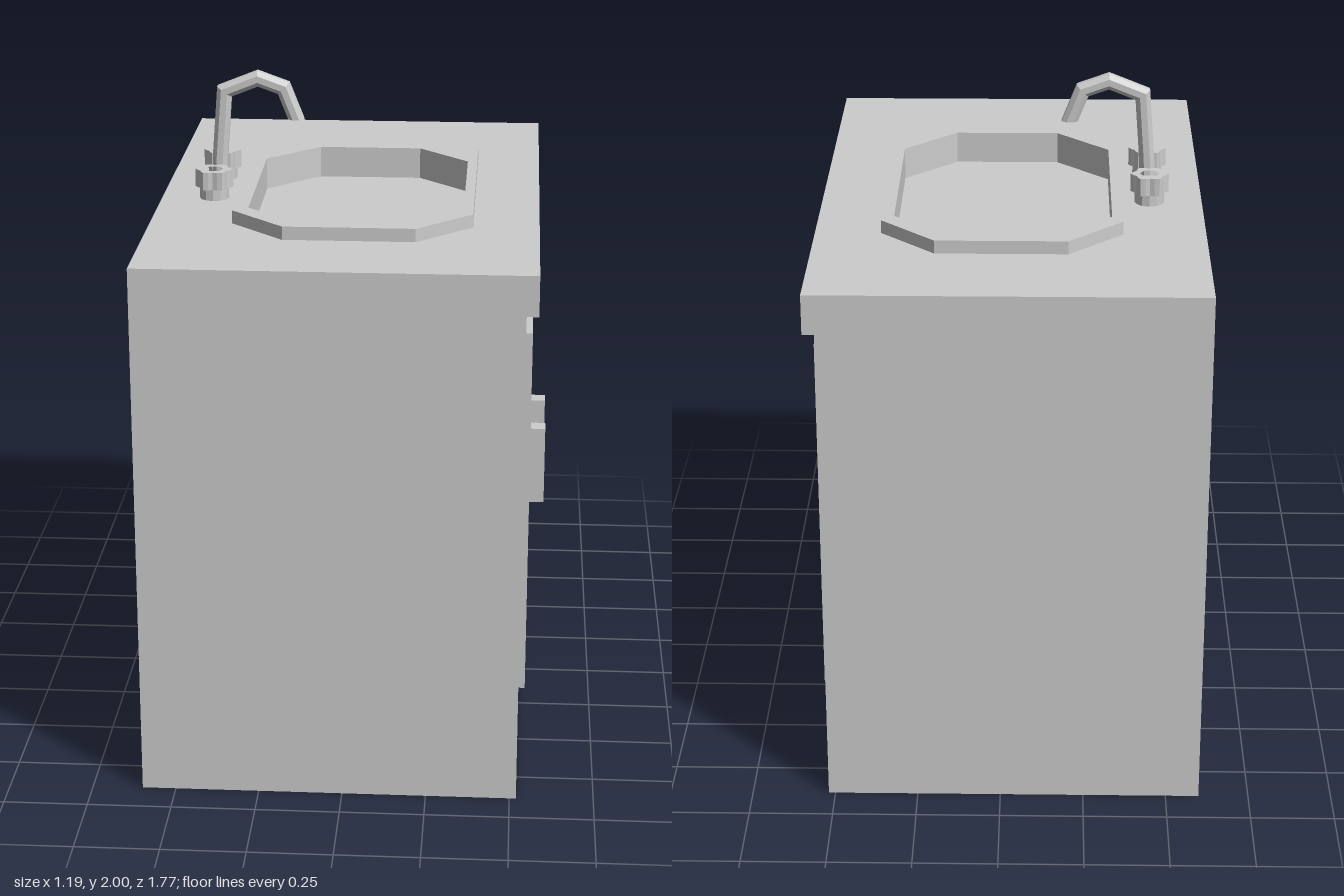
import * as THREE from 'three';

const grey = new THREE.MeshStandardMaterial({ color: 0xcccccc, flatShading: true });
const sheet = new THREE.MeshStandardMaterial({ color: 0xcccccc, flatShading: true, side: THREE.DoubleSide });

const TOP = 1.63, RIM = 1.67, FLOOR = 1.53, BACK = -0.6, FRONT = 0.52, LIP = 0.555, HALF = 0.885;

// Outline drawn in plan: shape y is -z
const plan = (pts, Kind = THREE.Shape) => new Kind(pts.map(([x, z]) => new THREE.Vector2(x, -z)));

// Rectangle with cut corners, around a centre slightly off the origin
function octagon(hx, hz, cx, cz) {
  const c = 0.163;
  return [
    [hx - c, -hz], [hx, -hz + c], [hx, hz - c], [hx - c, hz],
    [-hx + c, hz], [-hx, hz - c], [-hx, -hz + c], [-hx + c, -hz],
  ].map(([x, z]) => [x + cx, z + cz]);
}

function polygon(count, radiusAt) {
  return Array.from({ length: count }, (_, i) => {
    const a = (i / count) * Math.PI * 2;
    return [radiusAt(a) * Math.cos(a), radiusAt(a) * Math.sin(a)];
  });
}

// Sweeps a round section along a bent path in the xy plane, mitred at each bend
function bentPipe(path, radius, sides) {
  const pts = path.map(([x, y]) => new THREE.Vector2(x, y));
  const pos = [], idx = [];
  pts.forEach((p, i) => {
    const a = pts[Math.max(i - 1, 0)], b = pts[Math.min(i + 1, pts.length - 1)];
    const tIn = (i ? p.clone().sub(a) : b.clone().sub(p)).normalize();
    const tOut = (i < pts.length - 1 ? b.clone().sub(p) : tIn.clone()).normalize();
    const t = tIn.clone().add(tOut).normalize();
    if (i === pts.length - 1) t.set(0, -1); // spout end is cut level
    const r = radius / t.dot(tIn);
    for (let s = 0; s < sides; s++) {
      const ang = ((s + 0.5) / sides) * Math.PI * 2;
      pos.push(p.x - t.y * r * Math.cos(ang), p.y + t.x * r * Math.cos(ang), radius * Math.sin(ang));
      if (i) {
        const n = (s + 1) % sides, lo = (i - 1) * sides, hi = i * sides;
        idx.push(lo + s, lo + n, hi + n, lo + s, hi + n, hi + s);
      }
    }
  });
  const end = (pts.length - 1) * sides;
  for (let s = 1; s < sides - 1; s++) idx.push(end, end + s, end + s + 1);
  const g = new THREE.BufferGeometry();
  g.setAttribute('position', new THREE.Float32BufferAttribute(pos, 3));
  g.setIndex(idx);
  g.computeVertexNormals();
  return g;
}

export function createModel() {
  const model = new THREE.Group();

  function add(name, geometry, material = grey, parent = model) {
    const mesh = new THREE.Mesh(geometry, material);
    mesh.name = name;
    parent.add(mesh);
    return mesh;
  }
  const box = (name, x0, x1, y0, y1, z0, z1) =>
    add(name, new THREE.BoxGeometry(x1 - x0, y1 - y0, z1 - z0))
      .position.set((x0 + x1) / 2, (y0 + y1) / 2, (z0 + z1) / 2);
  const flat = (shape, y) => new THREE.ShapeGeometry(shape).rotateX(-Math.PI / 2).translate(0, y, 0);
  const prism = (shape, y0, y1) =>
    new THREE.ExtrudeGeometry(shape, { depth: y1 - y0, bevelEnabled: false })
      .rotateX(-Math.PI / 2).translate(0, y0, 0);

  // Cabinet shell: thin side panels and front, open at the back and bottom
  const side = new THREE.Shape([
    [BACK, 0], [FRONT, 0], [FRONT, 1.51], [LIP, 1.51], [LIP, TOP], [BACK, TOP],
  ].map(([x, y]) => new THREE.Vector2(x, y)));
  for (const s of [-1, 1]) {
    add(s > 0 ? 'leftPanel' : 'rightPanel', new THREE.ShapeGeometry(side), sheet).position.z = s * HALF;
  }
  const facing = (name, x, y0, y1) =>
    add(name, new THREE.PlaneGeometry(HALF * 2, y1 - y0).rotateY(Math.PI / 2), sheet)
      .position.set(x, (y0 + y1) / 2, 0);
  facing('frontPanel', FRONT, 0, 1.51);
  facing('counterLip', LIP, 1.51, TOP);
  add('counterLipUnderside', new THREE.PlaneGeometry(LIP - FRONT, HALF * 2).rotateX(Math.PI / 2), sheet)
    .position.set((LIP + FRONT) / 2, 1.51, 0);

  // Countertop with the basin opening
  const inner = octagon(0.327, 0.52, 0.002, 0.005);
  const outer = octagon(0.357, 0.567, 0.002, 0.007);
  const counter = plan([[BACK, HALF], [LIP, HALF], [LIP, -HALF], [BACK, -HALF]]);
  counter.holes.push(plan(inner, THREE.Path));
  add('countertop', flat(counter, TOP), sheet);

  // Sink: raised rim, upright walls and a flat floor
  const rim = plan(outer);
  rim.holes.push(plan(inner, THREE.Path));
  add('sinkRim', prism(rim, TOP, RIM));
  const walls = new THREE.Group();
  walls.name = 'sinkWalls';
  model.add(walls);
  inner.forEach(([x, z], i) => {
    const [nx, nz] = inner[(i + 1) % inner.length];
    const wall = add('sinkWall', new THREE.PlaneGeometry(Math.hypot(nx - x, nz - z), TOP - FLOOR), sheet, walls);
    wall.position.set((x + nx) / 2, (TOP + FLOOR) / 2, (z + nz) / 2);
    wall.rotation.y = -Math.atan2(nz - z, nx - x);
  });
  add('sinkFloor', flat(plan(inner), FLOOR), sheet);

  // Doors and handles
  for (const s of [-1, 1]) {
    const word = s > 0 ? 'left' : 'right';
    box(word + 'Door', FRONT, 0.54, 0.275, 1.4, ...(s > 0 ? [0.007, 0.7] : [-0.697, -0.005]));
    box(word + 'Handle', 0.54, 0.59, 0.66, 0.907, ...(s > 0 ? [0.105, 0.16] : [-0.155, -0.1]));
  }

  // Tap spout
  add('spout', bentPipe([
    [-0.437, TOP], [-0.434, 1.73], [-0.418, 1.935], [-0.315, 1.976], [-0.235, 1.947], [-0.197, 1.85],
  ], 0.025, 8), sheet);

  // Tap knobs: stem with a scalloped cap, hexagonal recess on top
  for (const z of [-0.115, 0.125]) {
    const knob = new THREE.Group();
    knob.name = z > 0 ? 'leftKnob' : 'rightKnob';
    knob.position.set(-0.44, 0, z);
    model.add(knob);
    add('stem', new THREE.CylinderGeometry(0.045, 0.045, 0.035, 12), grey, knob).position.y = TOP + 0.0175;
    const hex = polygon(6, () => 0.03);
    const cap = plan(polygon(24, (a) => 0.052 + 0.006 * Math.cos(6 * a)));
    cap.holes.push(plan(hex, THREE.Path));
    add('cap', prism(cap, 1.665, 1.72), grey, knob);
    add('capCentre', flat(plan(hex), 1.705), sheet, knob);
  }

  return model;
}
